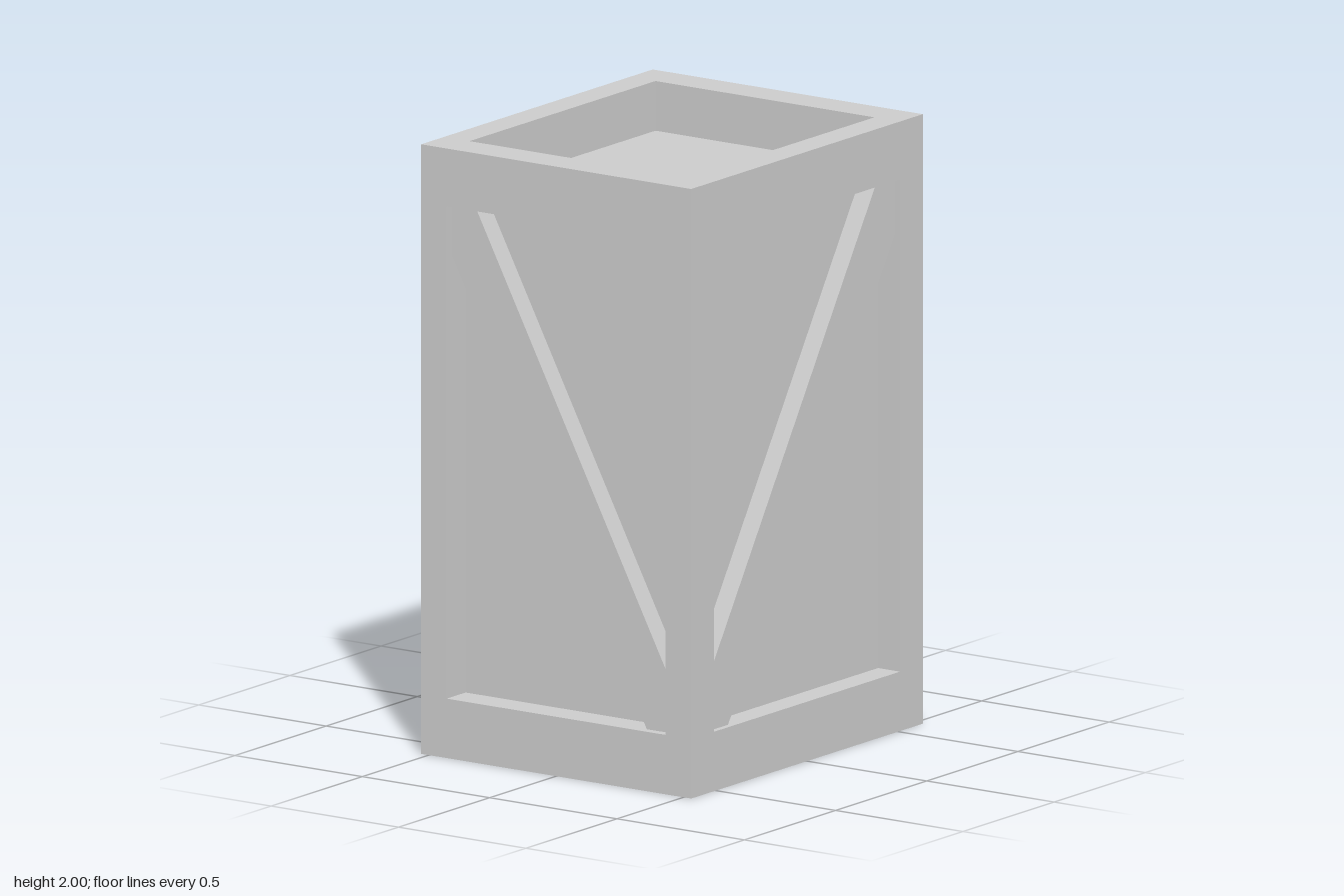
import * as THREE from 'three';

const W = 0.635, D = 0.53, H = 2;           // half width, half depth, height
const IX = 0.51, IZ = 0.43;                 // half sizes of the openings
const Y0 = 0.195, Y1 = 1.81;                // bottom and top of the openings
const PX = 0.531, PZ = 0.444, PY = 0.163;   // recessed panel planes

export function createModel() {
  const crate = new THREE.Group();
  crate.name = 'crate';
  const material = new THREE.MeshStandardMaterial({ color: 0xcccccc, flatShading: true });

  const add = (name, geometry, x = 0, y = 0, z = 0) => {
    const mesh = new THREE.Mesh(geometry, material);
    mesh.name = name;
    mesh.position.set(x, y, z);
    crate.add(mesh);
    return mesh;
  };
  const box = (name, w, h, d, x, y, z) => add(name, new THREE.BoxGeometry(w, h, d), x, y, z);

  // Inner body forming all six recessed panels
  box('innerPanels', 2 * PX, H - 2 * PY, 2 * PZ, 0, H / 2, 0);

  // Corner posts
  const postW = W - IX, postD = D - IZ;
  for (const sx of [-1, 1]) for (const sz of [-1, 1]) {
    box('cornerPost', postW, H, postD, sx * (W + IX) / 2, H / 2, sz * (D + IZ) / 2);
  }

  // Bottom and top rails between the posts
  for (const [name, low, high] of [['bottomRail', 0, Y0], ['topRail', Y1, H]]) {
    const h = high - low, y = (low + high) / 2;
    for (const s of [-1, 1]) {
      box(name, 2 * IX, h, postD, 0, y, s * (D + IZ) / 2);
      box(name, postW, h, 2 * IZ, s * (W + IX) / 2, y, 0);
    }
  }

  // Diagonal plank clipped to its opening: half width, corner cuts along u and y
  const brace = (half, cutU, cutY, depth) => {
    const shape = new THREE.Shape([
      [-half, Y0], [-half + cutU, Y0], [half, Y1 - cutY],
      [half, Y1], [half - cutU, Y1], [-half, Y0 + cutY],
    ].map(([u, y]) => new THREE.Vector2(u, y)));
    return new THREE.ExtrudeGeometry(shape, { depth, bevelEnabled: false });
  };

  // Front and back braces, both rising toward +x
  const faceZ = 0.51, faceX = 0.606;
  const wideBrace = brace(IX, 0.105, 0.18, faceZ - PZ);
  add('frontBrace', wideBrace, 0, 0, PZ);
  add('backBrace', wideBrace, 0, 0, -faceZ);

  // Side braces, both rising toward the back
  const sideBrace = brace(IZ, 0.095, 0.167, faceX - PX);
  add('leftBrace', sideBrace, PX).rotation.y = Math.PI / 2;
  add('rightBrace', sideBrace, -faceX).rotation.y = Math.PI / 2;

  return crate;
}
